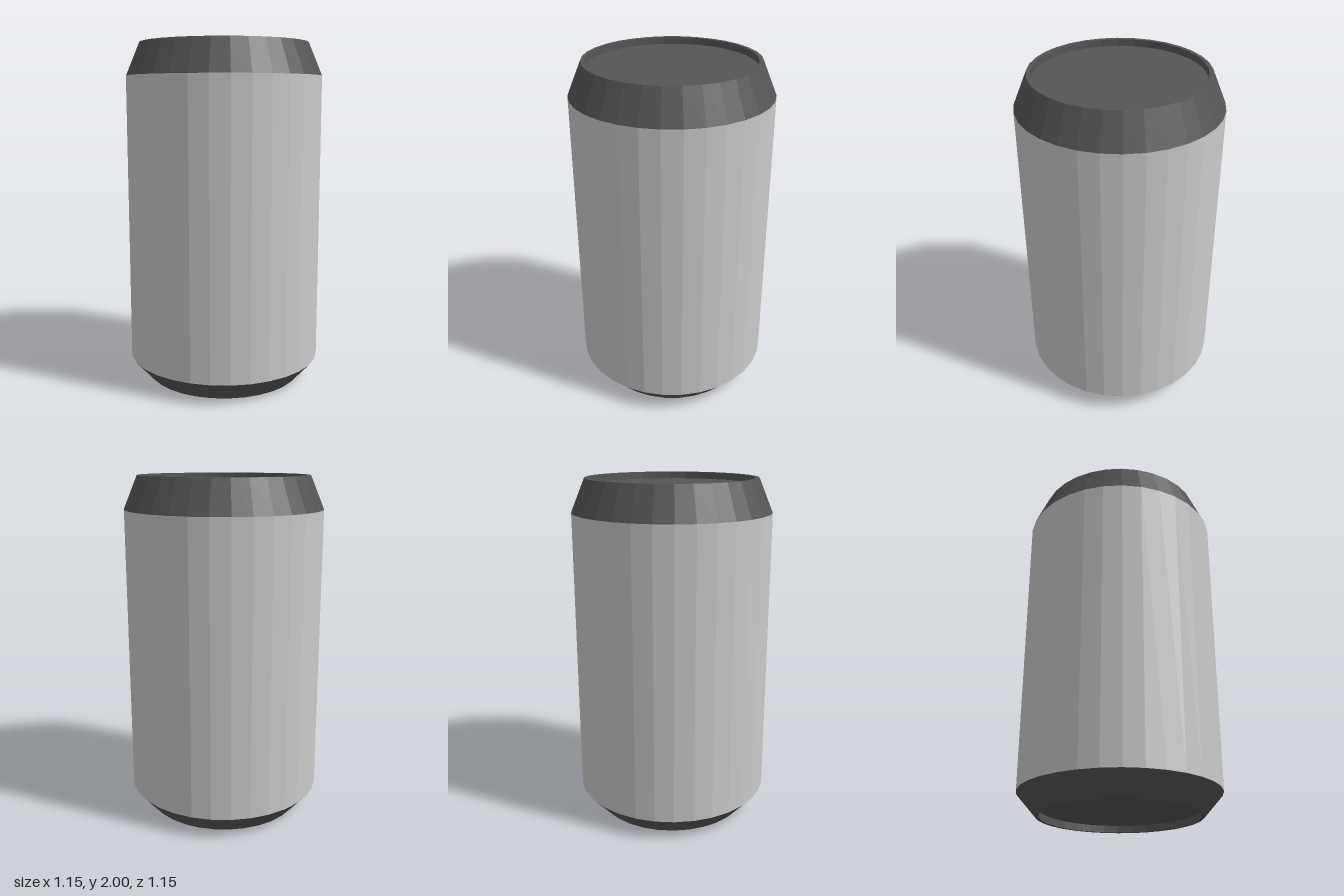
import * as THREE from 'three';

const SIDES = 32;
const BODY_RADIUS = 0.575;
const SHOULDER_Y = 1.81;
const BASE_Y = 0.125;

const material = (name, color) => {
  const m = new THREE.MeshStandardMaterial({ color, flatShading: true });
  m.name = name;
  return m;
};

// Revolve a [radius, y] profile, listed from the bottom up along the outside
function revolve(name, profile, mat) {
  const points = profile.map(([r, y]) => new THREE.Vector2(r, y));
  const mesh = new THREE.Mesh(new THREE.LatheGeometry(points, SIDES), mat);
  mesh.name = name;
  return mesh;
}

export function createModel() {
  const lightMetal = material('light metal', 0xcacaca);
  const darkMetal = material('dark metal', 0x555555);

  const can = new THREE.Group();
  can.name = 'can';

  // Base: recessed floor, narrow standing ring, flared chamfer
  can.add(revolve('base', [
    [0, 0.04], [0.445, 0.04], [0.445, 0], [0.465, 0], [BODY_RADIUS, BASE_Y],
  ], darkMetal));

  // Straight faceted wall
  can.add(revolve('body', [
    [BODY_RADIUS, BASE_Y], [BODY_RADIUS, SHOULDER_Y],
  ], lightMetal));

  // Top: tapered shoulder, flat rim, recessed lid
  can.add(revolve('shoulderAndLid', [
    [BODY_RADIUS, SHOULDER_Y], [0.495, 2], [0.472, 2], [0.472, 1.96], [0, 1.96],
  ], darkMetal));

  return can;
}
